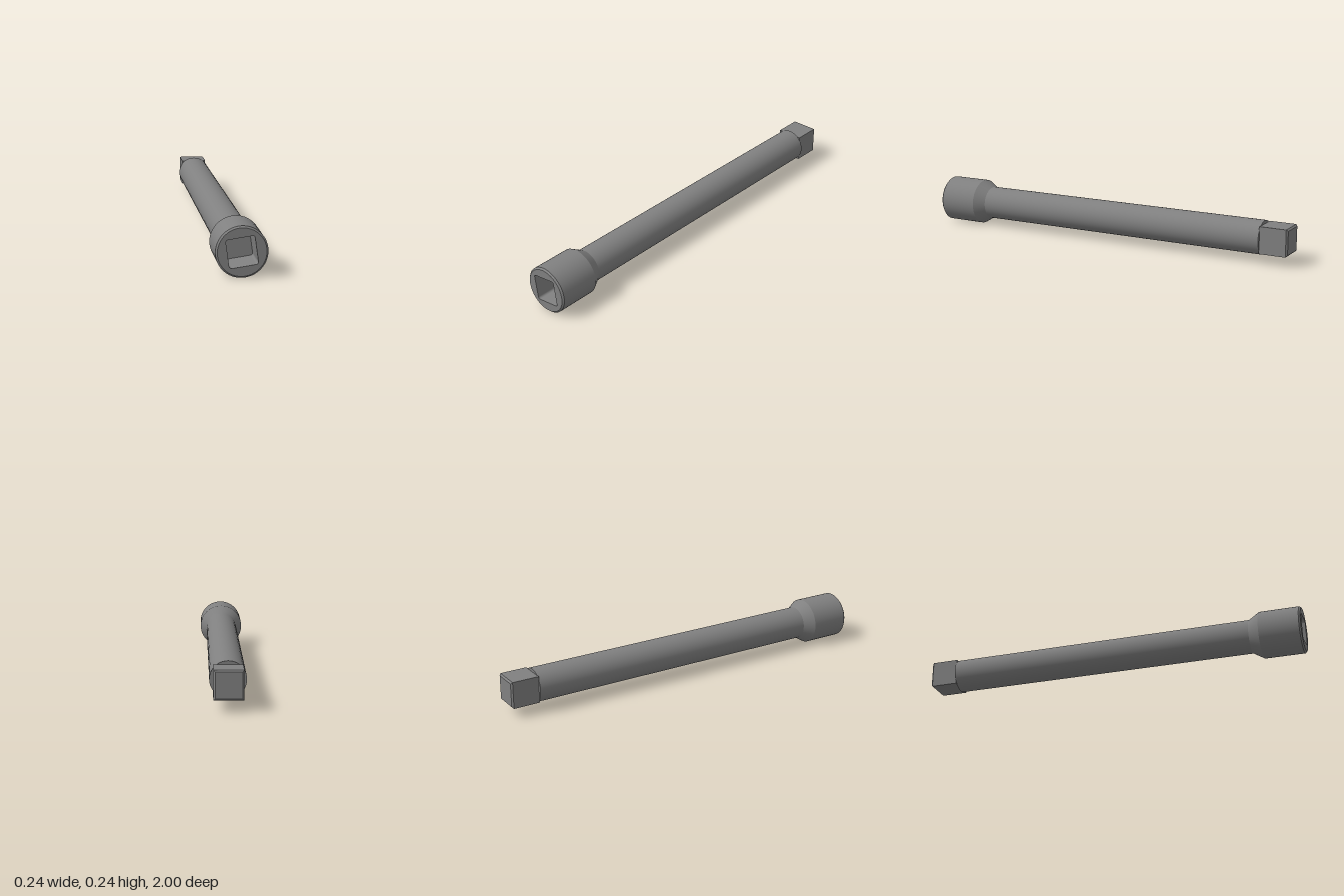
import * as THREE from 'three';

const CY = 0.119;      // height of the bar's axis
const SIDES = 48;

export function createModel() {
  const model = new THREE.Group();
  model.name = 'extensionBar';
  const steel = new THREE.MeshStandardMaterial({ color: 0x808080 });
  steel.name = 'grey steel';

  const add = (name, geometry, z = 0) => {
    const mesh = new THREE.Mesh(geometry, steel);
    mesh.name = name;
    mesh.position.set(0, CY, z);
    model.add(mesh);
  };

  // Round section along z, from z0 (back, radius r0) to z1 (front, radius r1)
  const section = (name, z0, r0, z1, r1) => add(name,
    new THREE.CylinderGeometry(r1, r0, z1 - z0, SIDES, 1, true).rotateX(Math.PI / 2),
    (z0 + z1) / 2);

  // Square section along z with half widths h0 (back) and h1 (front)
  const square = (name, z0, h0, z1, h1) => {
    const g = new THREE.CylinderGeometry(h1 * Math.SQRT2, h0 * Math.SQRT2, z1 - z0, 4)
      .rotateY(Math.PI / 4).rotateX(Math.PI / 2).toNonIndexed();
    g.computeVertexNormals();
    add(name, g, (z0 + z1) / 2);
  };

  // Round body: chamfered head, taper and shaft
  section('headChamfer', 0.992, 0.118, 1, 0.11);
  section('head', 0.79, 0.118, 0.992, 0.118);
  section('headTaper', 0.735, 0.085, 0.79, 0.118);
  section('shaft', -0.857, 0.085, 0.735, 0.085);
  add('shaftEnd', new THREE.CircleGeometry(0.085, SIDES).rotateY(Math.PI), -0.857);

  // Square socket with rounded corners, turned slightly about the axis
  const half = 0.0655, r = 0.011, turn = THREE.MathUtils.degToRad(8);
  const hole = new THREE.Path();
  for (let i = 0; i < 4; i++) {
    const a = turn + i * Math.PI / 2, c = half - r;
    const x = c * Math.cos(a) - c * Math.sin(a), y = c * Math.sin(a) + c * Math.cos(a);
    hole.absarc(x, y, r, a, a + Math.PI / 2, false);
  }
  hole.closePath();
  const face = new THREE.Shape().absarc(0, 0, 0.11, 0, Math.PI * 2, false);
  face.holes.push(hole);
  const depth = 0.16;
  add('socket', new THREE.ExtrudeGeometry(face,
    { depth, bevelEnabled: false, curveSegments: SIDES / 2 }), 1 - depth);
  add('socketFloor', new THREE.CircleGeometry(0.105, SIDES), 1 - depth + 0.001);

  // Square drive at the back with a chamfered end
  square('drive', -0.992, 0.068, -0.855, 0.068);
  square('driveChamfer', -1, 0.06, -0.992, 0.068);

  return model;
}
